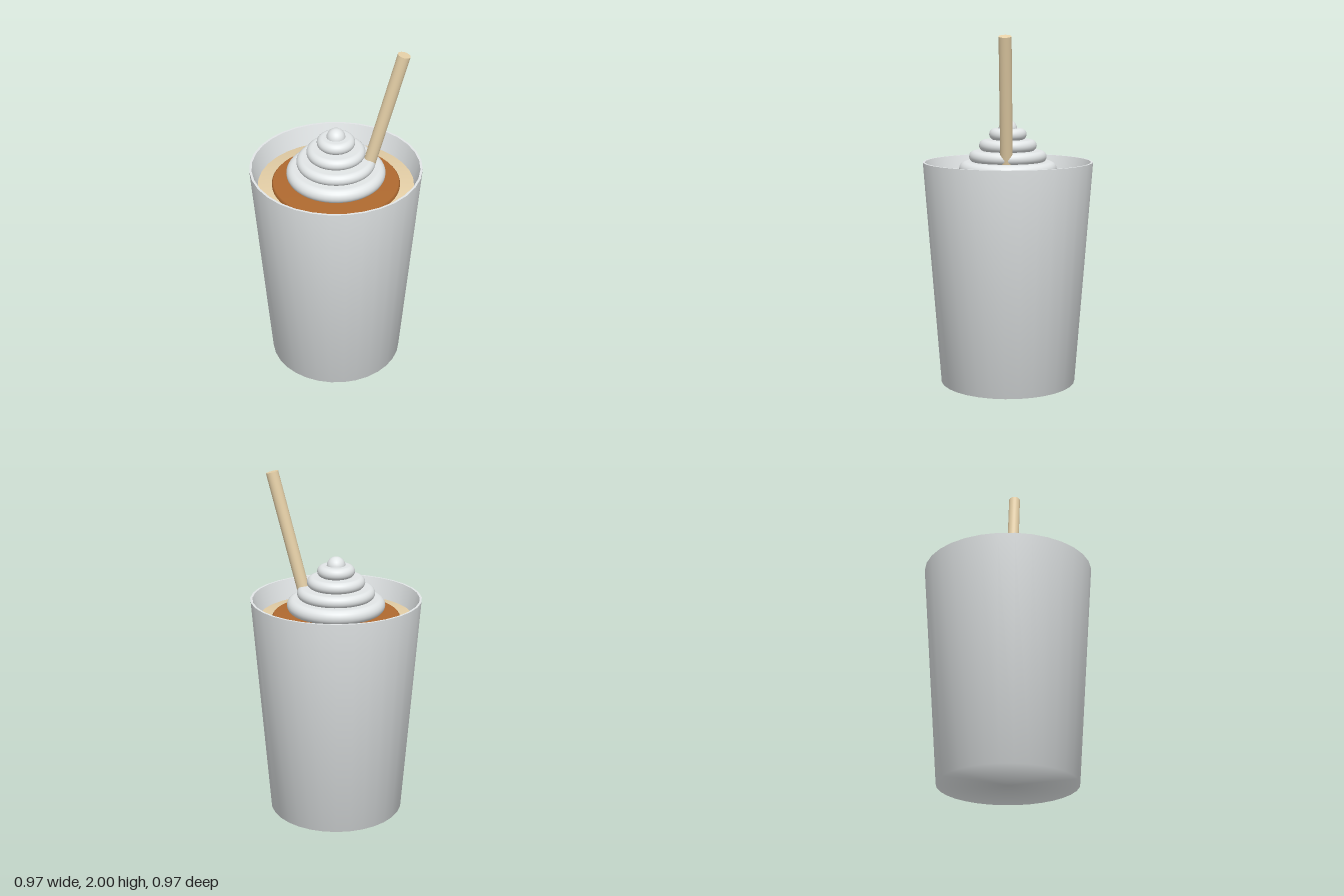
import * as THREE from 'three';

export function createModel() {
  const group = new THREE.Group();
  const material = (name, color, side = THREE.FrontSide) => {
    const m = new THREE.MeshStandardMaterial({ color, side });
    m.name = name;
    return m;
  };
  const white = material('white', 0xecf0f1, THREE.DoubleSide);
  const tan = material('tan', 0xf5deb3);
  const brown = material('caramel brown', 0xb06a30);

  const add = (name, geometry, mat) => {
    const mesh = new THREE.Mesh(geometry, mat);
    mesh.name = name;
    group.add(mesh);
    return mesh;
  };
  // Profiles run from the bottom outwards and up, as [radius, height]
  const lathe = (points, segments = 32) =>
    new THREE.LatheGeometry(points.map(([r, y]) => new THREE.Vector2(r, y)), segments);

  // Tapered cup: softly shaded outer wall with floor, thin rim and inner wall
  add('cupWall', lathe([[0, 0], [0.39, 0], [0.487, 1.285]]), white);
  add('cupRim', lathe([[0.487, 1.285], [0.474, 1.285]]), white);
  add('cupLining', lathe([[0.474, 1.285], [0.441, 1.16]]), white);

  // Drink surface and the caramel layer on it
  add('drink', lathe([[0.444, 1.06], [0.444, 1.17], [0, 1.17]]), tan);
  add('caramel', lathe([[0.363, 1.15], [0.363, 1.18], [0.355, 1.19], [0, 1.19]], 48), brown);

  // Whipped cream: stacked discs with round edges
  const tiers = [[0.28, 1.245, 0.042], [0.222, 1.315, 0.033], [0.165, 1.378, 0.033], [0.107, 1.442, 0.033]];
  tiers.forEach(([radius, y, half], i) => {
    const points = [[0, y - half]];
    for (let k = 0; k <= 10; k++) {
      const a = -Math.PI / 2 + (Math.PI * k) / 10;
      points.push([radius - half + half * Math.cos(a), y + half * Math.sin(a)]);
    }
    points.push([0, y + half]);
    add('creamTier' + (i + 1), lathe(points, 48), white);
  });
  add('creamTip', new THREE.SphereGeometry(0.053, 24, 16), white).position.y = 1.472;

  // Leaning straw
  const lean = 0.25, length = 0.8;
  const straw = add('straw', new THREE.CylinderGeometry(0.035, 0.035, length, 24), tan);
  straw.rotation.z = -lean;
  straw.position.set(0.36 - Math.sin(lean) * length / 2, 1.991 - Math.cos(lean) * length / 2, 0);

  return group;
}
